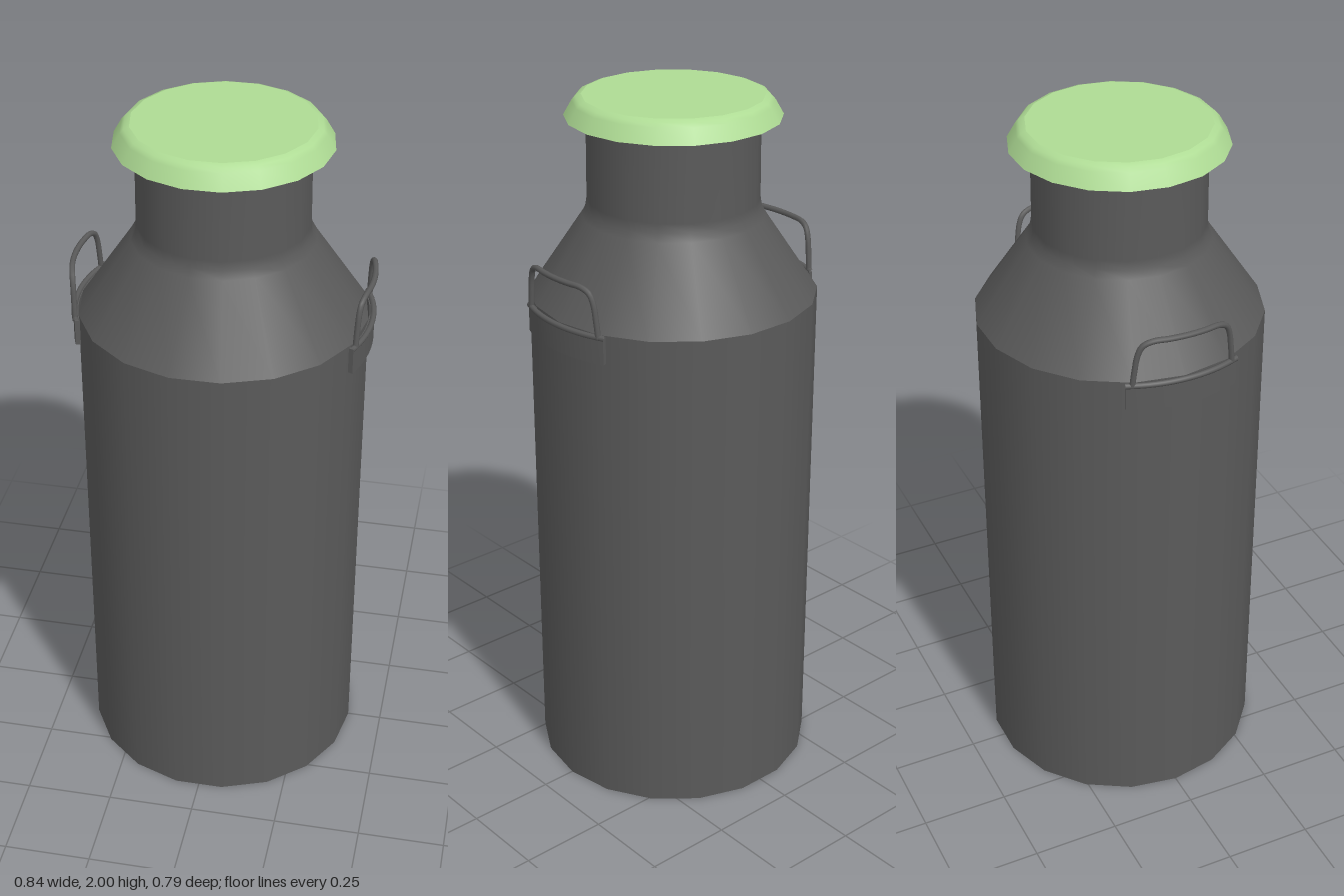
import * as THREE from 'three';
import { mergeGeometries, toCreasedNormals } from 'three/addons/utils/BufferGeometryUtils.js';

const SIDES = 18;

// Turned part: each profile piece is smooth in itself, with a sharp edge between pieces
function turned(pieces) {
  return mergeGeometries(pieces.map((piece) => new THREE.LatheGeometry(
    piece.map(([r, y]) => new THREE.Vector2(r, y)), SIDES, Math.PI / 2)));
}

// Point on the cylinder that the handle follows, given its z and height
function onCylinder(r, z, y) {
  return new THREE.Vector3(Math.sqrt(r * r - z * z), y, z);
}

function tube(points, segments, name, material) {
  const curve = new THREE.CatmullRomCurve3(points, false, 'centripetal');
  const mesh = new THREE.Mesh(new THREE.TubeGeometry(curve, segments, 0.008, 8), material);
  mesh.name = name;
  return mesh;
}

function createHandle(material) {
  const handle = new THREE.Group();

  // Curved mounting plate
  const half = 0.4;
  const shape = new THREE.Shape();
  shape.absarc(0, 0, 0.414, -half, half, false);
  shape.absarc(0, 0, 0.4, half, -half, true);
  shape.closePath();
  const plateGeometry = new THREE.ExtrudeGeometry(shape, { depth: 0.075, bevelEnabled: false, curveSegments: 10 });
  plateGeometry.rotateX(-Math.PI / 2).translate(0, 1.372, 0);
  const plate = new THREE.Mesh(toCreasedNormals(plateGeometry, 0.5), material);
  plate.name = 'handlePlate';
  handle.add(plate);

  // Rolled wire along the top of the plate
  const roll = [-0.162, -0.11, -0.055, 0, 0.055, 0.11, 0.162].map((z) => onCylinder(0.411, z, 1.447));
  handle.add(tube(roll, 16, 'handleRoll', material));

  // Raised grip
  const side = [[0.145, 1.445], [0.14, 1.49], [0.132, 1.54], [0.12, 1.565], [0.095, 1.577], [0.05, 1.578]];
  const path = [...side, [0, 1.578], ...side.map(([z, y]) => [-z, y]).reverse()];
  handle.add(tube(path.map(([z, y]) => onCylinder(0.411, z, y)), 48, 'handleGrip', material));
  return handle;
}

export function createModel() {
  const metal = new THREE.MeshStandardMaterial({ color: 0x5a5a5a });
  metal.name = 'darkGreyMetal';
  const green = new THREE.MeshStandardMaterial({ color: 0xaedb94 });
  green.name = 'lightGreen';

  const model = new THREE.Group();
  model.name = 'milkCan';

  // Base, wall, shoulder and neck
  const body = new THREE.Mesh(turned([
    [[0, 0], [0.4, 0]],
    [[0.4, 0], [0.4, 1.45]],
    [[0.4, 1.45], [0.253, 1.668], [0.241, 1.69], [0.237, 1.715], [0.235, 1.975]],
  ]), metal);
  body.name = 'body';
  model.add(body);

  // Hollow lid: underside, rim, rounded flank and flat top
  const lid = new THREE.Mesh(turned([
    [[0, 1.97], [0.24, 1.97], [0.285, 1.943]],
    [[0.285, 1.943], [0.295, 1.943]],
    [[0.295, 1.943], [0.272, 1.983], [0.262, 1.994], [0.247, 2]],
    [[0.247, 2], [0, 2]],
  ]), green);
  lid.name = 'lid';
  model.add(lid);

  // Handles on both sides
  [['leftHandle', 0], ['rightHandle', Math.PI]].forEach(([name, turn]) => {
    const handle = createHandle(metal);
    handle.name = name;
    handle.rotation.y = turn;
    model.add(handle);
  });

  return model;
}
